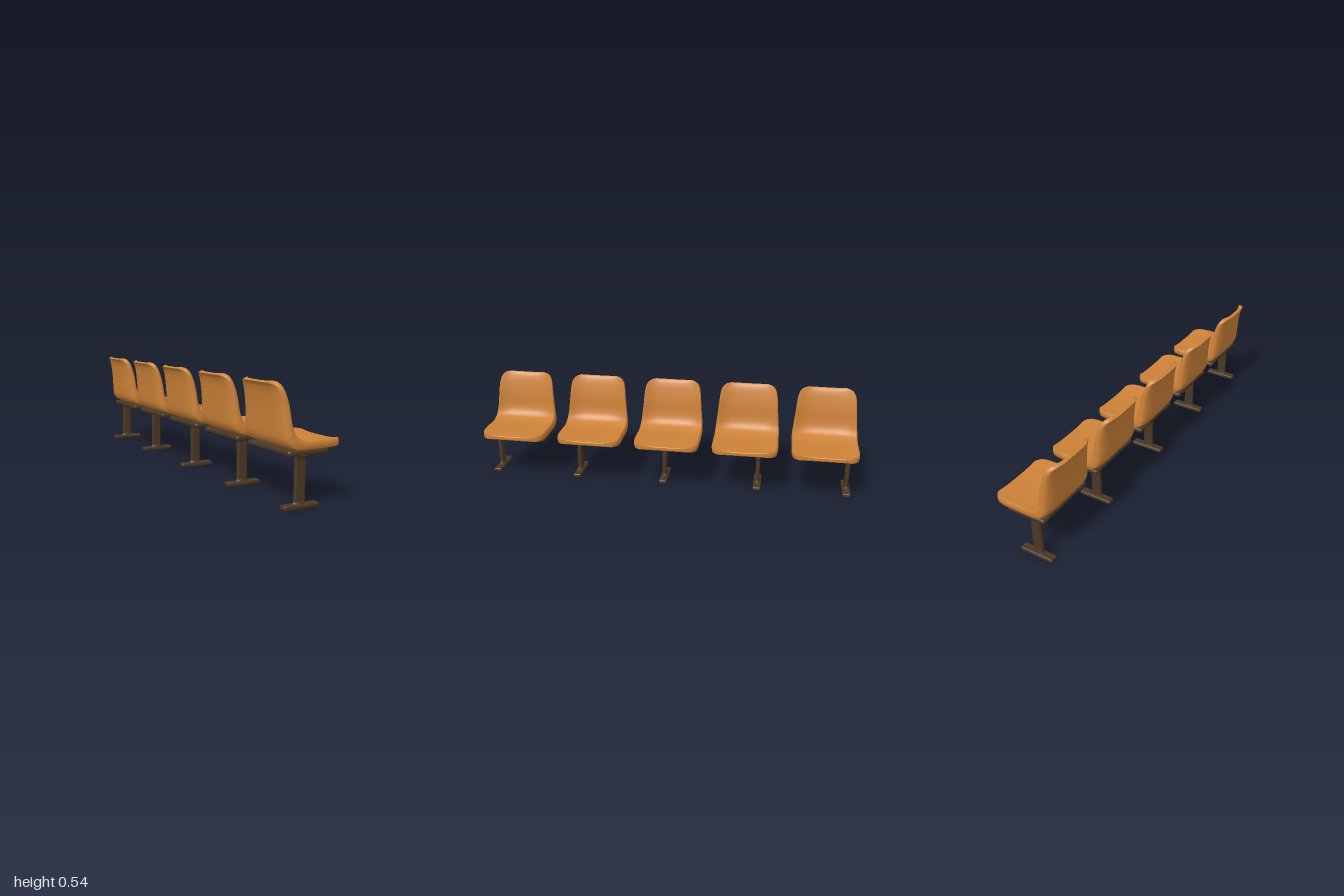
import * as THREE from 'three';
import { RoundedBoxGeometry } from 'three/addons/geometries/RoundedBoxGeometry.js';

const orange = new THREE.MeshStandardMaterial({ color: 0xcd8238 });
orange.name = 'orange plastic';
const brown = new THREE.MeshStandardMaterial({ color: 0x4a3724 });
brown.name = 'dark brown metal';

// Shell stations from front lip to top of back:
// inner x, inner y, half width, outer x, outer y, side flange forwardness
const STATIONS = [
  [0.172, 0.278, 0.105, 0.172, 0.26, 0],
  [0.167, 0.286, 0.138, 0.167, 0.254, 0],
  [0.15, 0.288, 0.16, 0.15, 0.252, 0],
  [0.12, 0.29, 0.17, 0.12, 0.251, 0],
  [0.04, 0.29, 0.172, 0.04, 0.25, 0],
  [-0.015, 0.29, 0.172, -0.05, 0.25, 0],
  [-0.048, 0.3, 0.172, -0.1, 0.262, 0.1],
  [-0.07, 0.32, 0.17, -0.128, 0.29, 0.3],
  [-0.085, 0.36, 0.165, -0.137, 0.34, 0.45],
  [-0.095, 0.43, 0.158, -0.143, 0.42, 0.45],
  [-0.11, 0.485, 0.152, -0.152, 0.485, 0.45],
  [-0.122, 0.515, 0.143, -0.16, 0.513, 0.4],
  [-0.135, 0.535, 0.125, -0.169, 0.525, 0.3],
  [-0.15, 0.541, 0.1, -0.174, 0.531, 0.2],
];

// One-piece dished seat and back, lofted from closed cross-sections
function shellGeometry() {
  const inner = new THREE.CatmullRomCurve3(STATIONS.map(s => new THREE.Vector3(s[0], s[1], s[2])));
  const outer = new THREE.CatmullRomCurve3(STATIONS.map(s => new THREE.Vector3(s[3], s[4], s[5])));
  const rows = 52, across = [-0.985, -0.94, -0.85, -0.7, -0.5, -0.25, 0, 0.25, 0.5, 0.7, 0.85, 0.94, 0.985];
  const positions = [], index = [];
  let n = 0;
  for (let i = 0; i <= rows; i++) {
    const a = inner.getPoint(i / rows), b = outer.getPoint(i / rows);
    const k = b.z;
    const ring = [];
    for (const v of across) {
      const dish = (0.3 + 0.7 * k) * (1 - v ** 4);
      ring.push([v, dish + (Math.abs(v) > 0.96 ? 0.06 : 0)]);
    }
    ring.push([1, 0.5 - 0.5 * k]);
    for (const v of [...across].reverse()) {
      ring.push([v, 1 - k * Math.abs(v) ** 6 - (Math.abs(v) > 0.96 ? 0.08 : 0)]);
    }
    ring.push([-1, 0.5 - 0.5 * k]);
    n = ring.length;
    for (const [v, f] of ring) {
      positions.push(a.x + (b.x - a.x) * f, a.y + (b.y - a.y) * f, v * a.z);
    }
  }
  for (let i = 0; i < rows; i++) {
    for (let j = 0; j < n; j++) {
      const p = i * n + j, q = i * n + (j + 1) % n;
      index.push(p, p + n, q, q, p + n, q + n);
    }
  }
  // Close the two ends by bridging the upper and lower lines
  for (const [row, flip] of [[0, false], [rows, true]]) {
    const o = row * n;
    for (let j = 0; j < n / 2 - 1; j++) {
      const p = o + j, q = o + j + 1;
      const r = o + (2 * n - 2 - j) % n, s = o + (2 * n - 3 - j) % n;
      const m = [p, q, r, q, s, r];
      index.push(...(flip ? m.reverse() : m));
    }
  }
  const g = new THREE.BufferGeometry();
  g.setAttribute('position', new THREE.Float32BufferAttribute(positions, 3));
  g.setIndex(index);
  g.computeVertexNormals();
  return g;
}

function add(group, name, geometry, material, x, y, z) {
  const mesh = new THREE.Mesh(geometry, material);
  mesh.name = name;
  mesh.position.set(x, y, z);
  group.add(mesh);
  return mesh;
}

export function createModel() {
  const row = new THREE.Group();
  row.name = 'seatRow';

  const shell = shellGeometry();
  const arm = new RoundedBoxGeometry(0.205, 0.026, 0.06, 3, 0.011);
  const beam = new RoundedBoxGeometry(0.095, 0.026, 0.32, 3, 0.011);
  const pan = new RoundedBoxGeometry(0.13, 0.034, 0.21, 3, 0.012);
  const post = new RoundedBoxGeometry(0.053, 0.215, 0.022, 3, 0.009);
  const foot = new RoundedBoxGeometry(0.177, 0.021, 0.042, 3, 0.007);
  const flare = new THREE.CylinderGeometry(0.026, 0.034, 0.014, 20);
  const collar = new THREE.CylinderGeometry(0.036, 0.026, 0.016, 20);

  // Seat centre and post position along the row
  const layout = [[0.828, 0.975], [0.413, 0.51], [-0.005, 0.025], [-0.417, -0.488], [-0.828, -0.962]];
  for (const [seatZ, postZ] of layout) {
    const chair = new THREE.Group();
    chair.name = 'chair';
    chair.position.z = seatZ;
    row.add(chair);
    add(chair, 'seatShell', shell, orange, 0, 0, 0);
    add(chair, 'seatPan', pan, orange, 0.034, 0.241, 0);

    // U-shaped support: rear beam and two side arms
    add(chair, 'rearBeam', beam, brown, -0.057, 0.238, 0);
    for (const side of [-1, 1]) add(chair, 'sideArm', arm, brown, -0.004, 0.238, side * 0.133);

    // Pedestal
    const z = postZ - seatZ;
    add(chair, 'foot', foot, brown, -0.036, 0.0105, z);
    add(chair, 'post', post, brown, -0.04, 0.125, z);
    add(chair, 'postBase', flare, brown, -0.04, 0.026, z).scale.z = 0.5;
    add(chair, 'postCollar', collar, brown, -0.036, 0.22, z).scale.z = 0.65;
  }
  return row;
}
